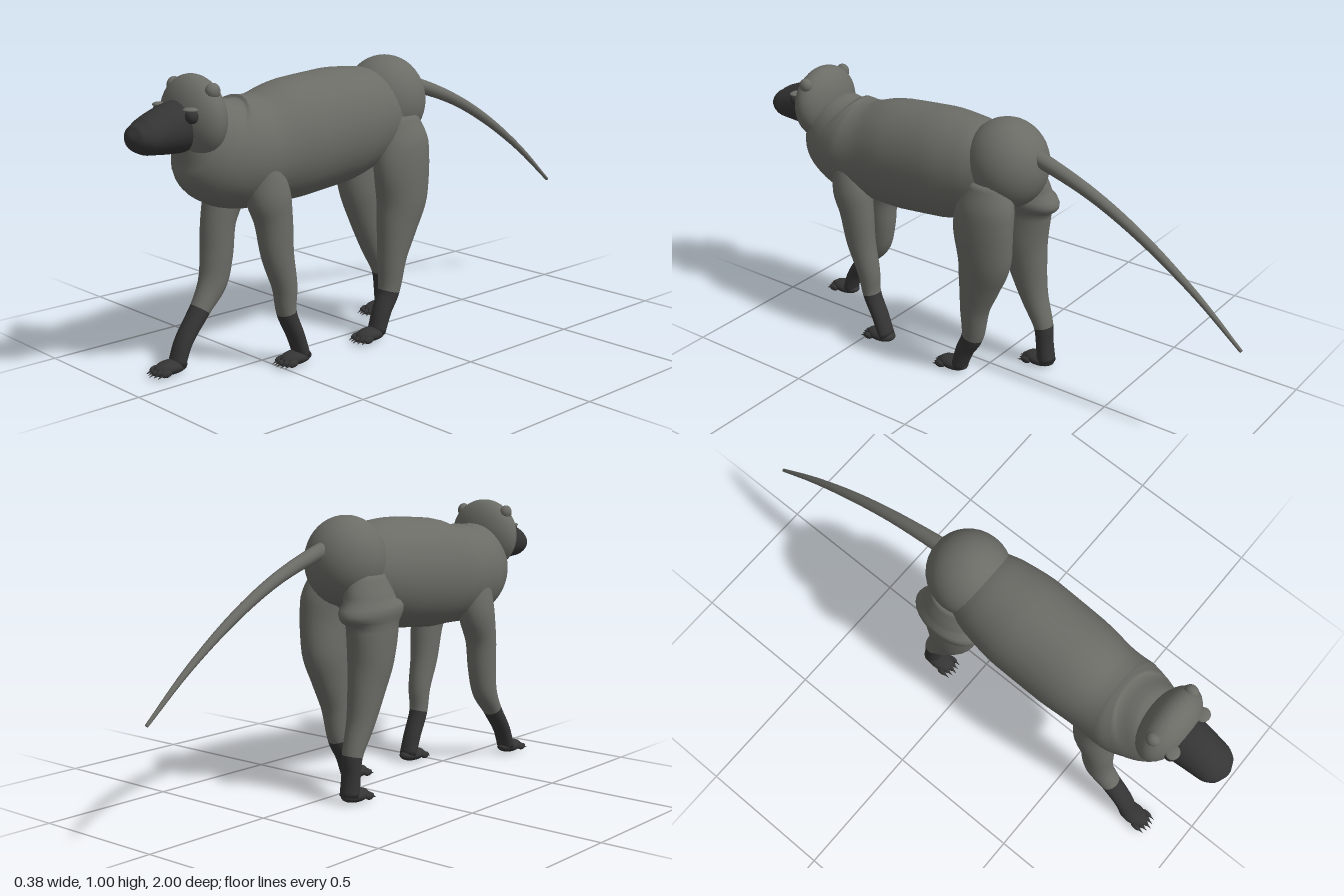
import * as THREE from 'three';

const fur = new THREE.MeshStandardMaterial({ color: 0x6c6c67 });
fur.name = 'greyFur';
const dark = new THREE.MeshStandardMaterial({ color: 0x353535 });
dark.name = 'darkSkin';

// Smooth tube through sections [x, y, z, half width in x, half depth];
// material changes from the first to the second at section "cut".
function loft(name, secs, mats, cut = 0, sides = 28, steps = 5) {
  const path = new THREE.CatmullRomCurve3(secs.map(s => new THREE.Vector3(s[0], s[1], s[2])));
  const size = new THREE.CatmullRomCurve3(secs.map(s => new THREE.Vector3(s[3], s[4], 0)));
  const rows = (secs.length - 1) * steps;
  const pos = [], idx = [];
  const X = new THREE.Vector3(1, 0, 0);
  for (let i = 0; i <= rows; i++) {
    const t = i / rows;
    const c = path.getPoint(t), r = size.getPoint(t);
    const n = path.getTangent(t).cross(X).normalize();
    for (let j = 0; j < sides; j++) {
      const a = (j / sides) * Math.PI * 2;
      const p = c.clone().addScaledVector(X, r.x * Math.cos(a)).addScaledVector(n, r.y * Math.sin(a));
      pos.push(p.x, p.y, p.z);
    }
  }
  const first = secs[0], last = secs[secs.length - 1];
  const c0 = pos.length / 3;
  pos.push(first[0], first[1], first[2], last[0], last[1], last[2]);
  for (let j = 0; j < sides; j++) idx.push(c0, (j + 1) % sides, j);
  let split = idx.length;
  for (let i = 0; i < rows; i++) {
    if (i === cut * steps) split = idx.length;
    for (let j = 0; j < sides; j++) {
      const a = i * sides + j, b = i * sides + (j + 1) % sides;
      idx.push(a, b, a + sides, b, b + sides, a + sides);
    }
  }
  for (let j = 0; j < sides; j++) idx.push(c0 + 1, rows * sides + j, rows * sides + (j + 1) % sides);
  const g = new THREE.BufferGeometry();
  g.setAttribute('position', new THREE.Float32BufferAttribute(pos, 3));
  g.setIndex(idx);
  g.computeVertexNormals();
  if (Array.isArray(mats)) {
    g.addGroup(0, split, 0);
    g.addGroup(split, idx.length - split, 1);
  }
  const m = new THREE.Mesh(g, mats);
  m.name = name;
  return m;
}

function ellipsoid(name, mat, [x, y, z], [rx, ry, rz], seg = 32) {
  const g = new THREE.SphereGeometry(1, seg, Math.round(seg * 0.7));
  g.scale(rx, ry, rz);
  const m = new THREE.Mesh(g, mat);
  m.name = name;
  m.position.set(x, y, z);
  return m;
}

// Flat foot with five clawed toes; z is the heel
function foot(name, x, z) {
  const f = new THREE.Group();
  f.name = name;
  f.add(ellipsoid('sole', dark, [x, 0.024, z + 0.06], [0.039, 0.024, 0.062], 20));
  for (let i = -2; i <= 2; i++) {
    const tx = x + i * 0.0165, tz = z + 0.112 - Math.abs(i) * 0.006;
    f.add(ellipsoid('toe', dark, [tx, 0.017, tz], [0.0095, 0.013, 0.022], 10));
    const claw = new THREE.Mesh(new THREE.ConeGeometry(0.005, 0.024, 6), dark);
    claw.name = 'claw';
    claw.rotation.x = Math.PI / 2 + 0.35;
    claw.position.set(tx, 0.011, tz + 0.025);
    f.add(claw);
  }
  return f;
}

export function createModel() {
  const model = new THREE.Group();
  model.name = 'longTailedAnimal';

  // Trunk from hips to neck
  model.add(loft('body', [
    [0, 0.80, -0.08, 0.12, 0.13],
    [0, 0.785, 0.03, 0.155, 0.178],
    [0, 0.768, 0.18, 0.173, 0.202],
    [0, 0.75, 0.37, 0.171, 0.204],
    [0, 0.732, 0.52, 0.160, 0.185],
    [0, 0.735, 0.60, 0.162, 0.186],
    [0, 0.765, 0.675, 0.143, 0.180],
    [0, 0.81, 0.73, 0.115, 0.135],
    [0, 0.84, 0.77, 0.08, 0.08],
  ], fur, 0, 32));
  model.add(ellipsoid('rump', fur, [0, 0.83, -0.075], [0.145, 0.16, 0.148]));

  // Tail
  model.add(loft('tail', [
    [0, 0.885, -0.16, 0.03, 0.03],
    [0, 0.865, -0.24, 0.027, 0.027],
    [0, 0.80, -0.42, 0.022, 0.022],
    [0, 0.70, -0.61, 0.018, 0.018],
    [0, 0.555, -0.82, 0.012, 0.012],
    [0, 0.404, -0.998, 0.006, 0.006],
  ], fur, 0, 12));

  // Head with dark muzzle
  model.add(ellipsoid('head', fur, [0, 0.866, 0.757], [0.142, 0.137, 0.08]));
  model.add(loft('muzzle', [
    [0, 0.848, 0.77, 0.085, 0.085],
    [0, 0.842, 0.84, 0.082, 0.082],
    [0, 0.833, 0.90, 0.076, 0.070],
    [0, 0.825, 0.95, 0.070, 0.056],
    [0, 0.826, 0.983, 0.050, 0.038],
    [0, 0.828, 1.0, 0.012, 0.010],
  ], dark));
  for (const s of [1, -1]) {
    model.add(ellipsoid('ear', fur, [s * 0.1, 0.957, 0.755], [0.022, 0.027, 0.026], 16));
    model.add(ellipsoid('eye', dark, [s * 0.085, 0.885, 0.825], [0.021, 0.023, 0.021], 16));
    model.add(ellipsoid('brow', fur, [s * 0.08, 0.905, 0.826], [0.026, 0.008, 0.024], 16));
  }

  // Left front leg, swept back
  model.add(loft('frontLegLeft', [
    [0.090, 0.72, 0.57, 0.060, 0.060],
    [0.105, 0.60, 0.548, 0.066, 0.078],
    [0.108, 0.52, 0.53, 0.058, 0.068],
    [0.108, 0.40, 0.515, 0.050, 0.058],
    [0.107, 0.28, 0.485, 0.042, 0.043],
    [0.104, 0.19, 0.476, 0.036, 0.033],
    [0.104, 0.10, 0.438, 0.036, 0.028],
    [0.104, 0.025, 0.412, 0.036, 0.026],
  ], [fur, dark], 5));
  model.add(foot('frontFootLeft', 0.104, 0.378));

  // Right front leg, stepping forward
  model.add(loft('frontLegRight', [
    [-0.090, 0.72, 0.57, 0.060, 0.060],
    [-0.105, 0.60, 0.56, 0.066, 0.075],
    [-0.108, 0.48, 0.59, 0.058, 0.060],
    [-0.108, 0.37, 0.60, 0.052, 0.058],
    [-0.108, 0.28, 0.618, 0.046, 0.052],
    [-0.106, 0.195, 0.675, 0.038, 0.034],
    [-0.106, 0.10, 0.745, 0.036, 0.028],
    [-0.106, 0.025, 0.776, 0.036, 0.026],
  ], [fur, dark], 5));
  model.add(foot('frontFootRight', -0.106, 0.74));

  // Left hind leg, forward
  model.add(loft('hindLegLeft', [
    [0.085, 0.79, -0.06, 0.060, 0.075],
    [0.105, 0.70, -0.06, 0.076, 0.108],
    [0.112, 0.62, -0.052, 0.076, 0.116],
    [0.110, 0.50, -0.055, 0.074, 0.104],
    [0.108, 0.40, -0.035, 0.063, 0.082],
    [0.107, 0.29, -0.012, 0.050, 0.056],
    [0.104, 0.165, 0.002, 0.038, 0.041],
    [0.104, 0.10, 0.035, 0.036, 0.034],
    [0.104, 0.025, 0.062, 0.036, 0.028],
  ], [fur, dark], 6));
  model.add(foot('hindFootLeft', 0.104, 0.03));

  // Right hind leg, trailing
  model.add(loft('hindLegRight', [
    [-0.085, 0.79, -0.07, 0.060, 0.080],
    [-0.105, 0.70, -0.07, 0.076, 0.112],
    [-0.112, 0.62, -0.065, 0.076, 0.112],
    [-0.110, 0.50, -0.07, 0.074, 0.095],
    [-0.108, 0.40, -0.09, 0.063, 0.076],
    [-0.107, 0.28, -0.122, 0.050, 0.052],
    [-0.106, 0.165, -0.166, 0.038, 0.035],
    [-0.106, 0.10, -0.172, 0.036, 0.031],
    [-0.106, 0.025, -0.180, 0.036, 0.034],
  ], [fur, dark], 6));
  model.add(foot('hindFootRight', -0.106, -0.21));

  return model;
}
